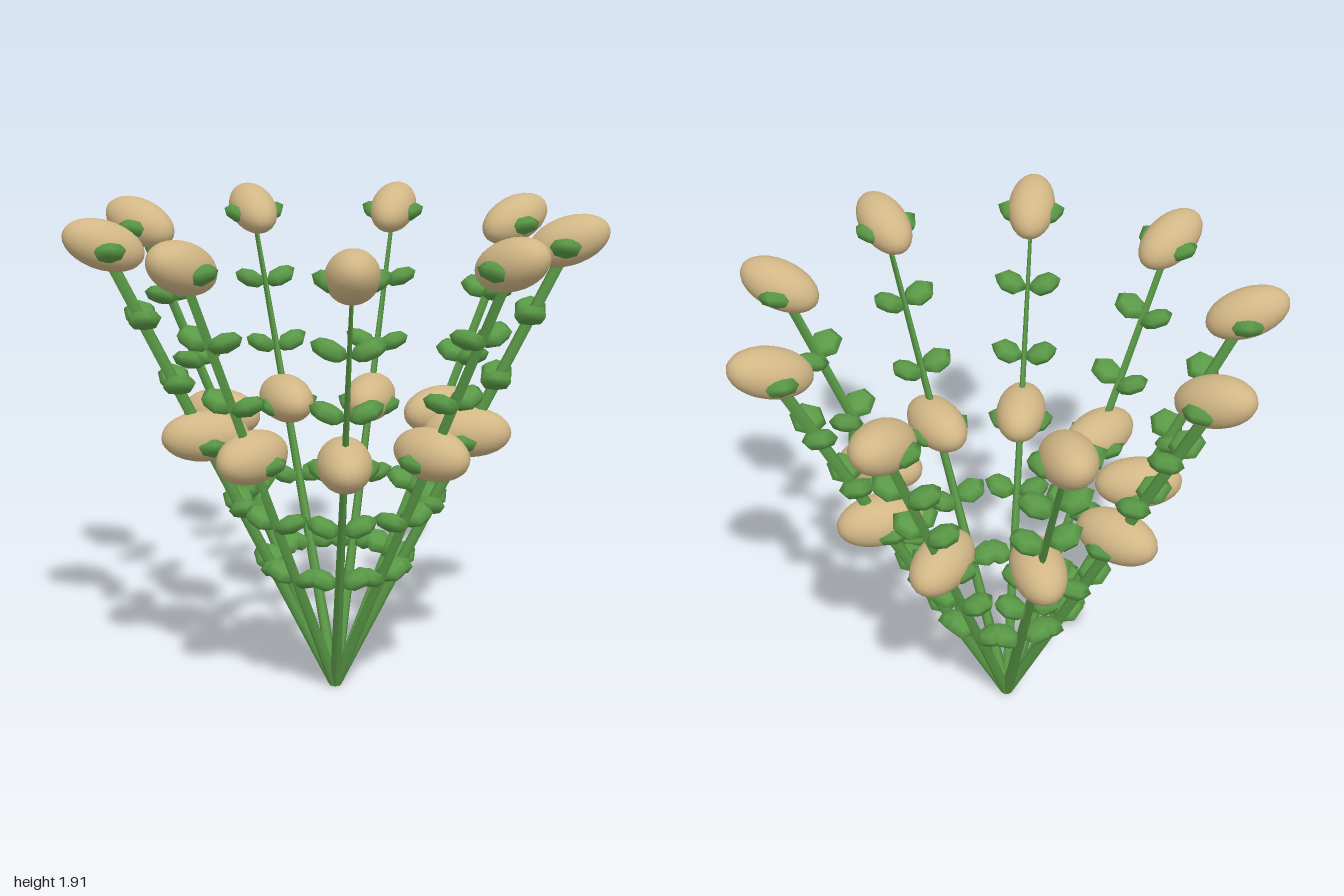
import * as THREE from 'three';

const STEMS = 9;
const LEAN = 0.48; // outward run per unit of height
const HEIGHT = 1.8;

export function createModel() {
  const green = new THREE.MeshStandardMaterial({ color: 0x5a9a47 });
  green.name = 'leafGreen';
  const tan = new THREE.MeshStandardMaterial({ color: 0xd2b786 });
  tan.name = 'budTan';

  // Leaning stem (outward is +z) that narrows sideways towards the top
  const stemGeo = new THREE.CylinderGeometry(0.024, 0.024, HEIGHT, 6, 4);
  stemGeo.translate(0, HEIGHT / 2, 0);
  const p = stemGeo.attributes.position;
  for (let i = 0; i < p.count; i++) {
    const y = p.getY(i);
    p.setX(i, p.getX(i) * (1 - 0.75 * y / HEIGHT));
    p.setZ(i, p.getZ(i) + y * LEAN);
  }
  stemGeo.computeVertexNormals();

  const leafGeo = new THREE.SphereGeometry(1, 6, 4).scale(0.07, 0.036, 0.066);
  const budGeo = new THREE.SphereGeometry(1, 24, 16);

  const model = new THREE.Group();
  model.name = 'buddingPlant';

  function add(parent, name, geo, mat, x, y, z) {
    const mesh = new THREE.Mesh(geo, mat);
    mesh.name = name;
    mesh.position.set(x, y, z);
    parent.add(mesh);
    return mesh;
  }

  for (let s = 0; s < STEMS; s++) {
    const branch = new THREE.Group();
    branch.name = 'branch';
    branch.rotation.y = (s / STEMS) * Math.PI * 2;
    branch.position.z = -0.03;
    add(branch, 'stem', stemGeo, green, 0, 0, 0);

    // Pairs of raised leaves at even steps
    for (let k = 0; k < 6; k++) {
      const y = 0.545 + 0.25 * k;
      for (const side of [-1, 1]) {
        const leaf = add(branch, 'leaf', leafGeo, green, side * 0.068, y, y * LEAN - 0.01);
        leaf.rotation.z = side * 0.42;
      }
    }

    // Level bud halfway up, tilted bud at the tip
    add(branch, 'middleBud', budGeo, tan, 0, 1.075, 0.508).scale.set(0.1, 0.097, 0.168);
    const tip = add(branch, 'tipBud', budGeo, tan, 0, 1.815, 0.865);
    tip.scale.set(0.092, 0.09, 0.155);
    tip.rotation.x = -0.34;
    model.add(branch);
  }
  return model;
}
